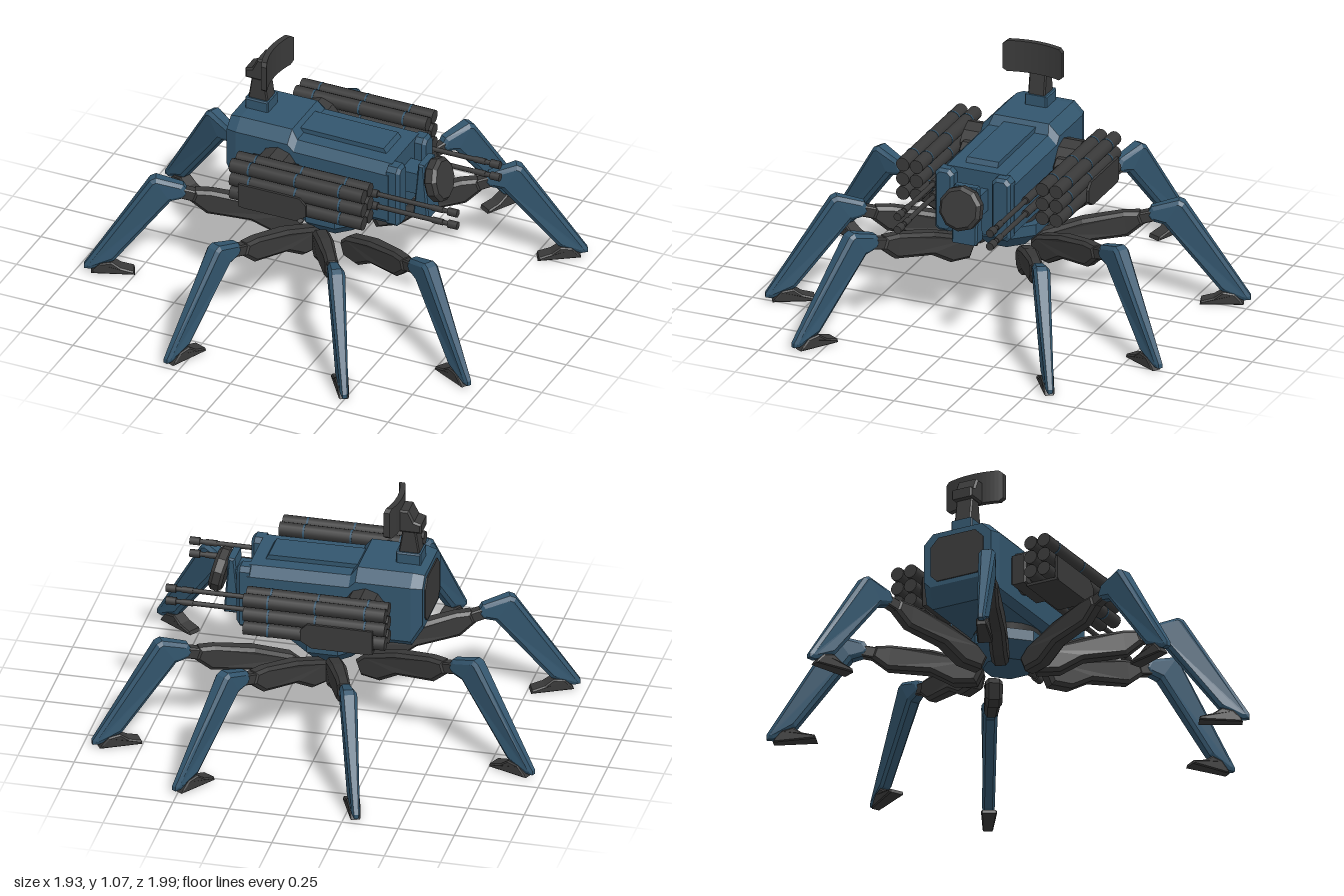
import * as THREE from 'three';

const blue = new THREE.MeshStandardMaterial({ color: 0x33566e });
blue.name = 'steel blue';
const dark = new THREE.MeshStandardMaterial({ color: 0x3a3a3a });
dark.name = 'dark grey';

function add(parent, name, geometry, material, x = 0, y = 0, z = 0) {
  const mesh = new THREE.Mesh(geometry, material);
  mesh.name = name;
  mesh.position.set(x, y, z);
  parent.add(mesh);
  return mesh;
}

// Gives every face its own flat normal
function faceted(geometry) {
  const g = geometry.index ? geometry.toNonIndexed() : geometry;
  g.computeVertexNormals();
  return g;
}

// Side outline (x, y) extruded along z, bevelled, with a width rule along x
function prism(points, width, bevel, rule = () => 1) {
  const shape = new THREE.Shape(points.map(([x, y]) => new THREE.Vector2(x, y)));
  const g = new THREE.ExtrudeGeometry(shape, {
    depth: width - 2 * bevel, bevelEnabled: bevel > 0, bevelThickness: bevel,
    bevelSize: bevel, bevelOffset: -bevel, bevelSegments: 1,
  });
  g.translate(0, 0, bevel - width / 2);
  const p = g.attributes.position;
  for (let i = 0; i < p.count; i++) p.setZ(i, p.getZ(i) * rule(p.getX(i)));
  return faceted(g);
}

// Chamfered cross-sections joined along x: [x, bottom, top, halfWidth, topCut, bottomCut]
function loft(sections) {
  const pos = [], index = [];
  for (const [x, b, t, w, c, d] of sections) {
    const ring = [[t, -w + c], [t, w - c], [t - c, w], [b + d, w],
      [b, w - d], [b, -w + d], [b + d, -w], [t - c, -w]];
    for (const [y, z] of ring) pos.push(x, y, z);
  }
  const last = (sections.length - 1) * 8;
  for (let r = 0; r < last; r += 8) {
    for (let j = 0; j < 8; j++) {
      const k = (j + 1) % 8;
      index.push(r + j, r + k, r + 8 + k, r + j, r + 8 + k, r + 8 + j);
    }
  }
  for (let j = 1; j < 7; j++) index.push(0, j + 1, j, last, last + j, last + j + 1);
  const g = new THREE.BufferGeometry();
  g.setAttribute('position', new THREE.Float32BufferAttribute(pos, 3));
  g.setIndex(index);
  return faceted(g);
}

// Rod along x from x0 to x1
function rod(x0, x1, radius, sides = 14) {
  const g = new THREE.CylinderGeometry(radius, radius, x1 - x0, sides);
  return g.rotateZ(-Math.PI / 2).translate((x0 + x1) / 2, 0, 0);
}

function buildHull(root) {
  const hull = new THREE.Group();
  hull.name = 'hull';
  root.add(hull);
  add(hull, 'hullBody', loft([
    [-0.405, 0.515, 0.765, 0.165, 0.045, 0.03],
    [-0.355, 0.433, 0.775, 0.18, 0.05, 0.03],
    [-0.11, 0.433, 0.775, 0.18, 0.05, 0.03],
    [-0.08, 0.433, 0.735, 0.18, 0.04, 0.03],
    [0.37, 0.433, 0.73, 0.18, 0.04, 0.03],
  ]), blue);
  add(hull, 'roofPanel', prism([[-0.12, 0.72], [0.32, 0.72], [0.30, 0.752], [-0.12, 0.756]], 0.15, 0), blue);
  add(hull, 'rearPanel', loft([
    [-0.411, 0.535, 0.74, 0.13, 0.04, 0.03], [-0.404, 0.535, 0.74, 0.13, 0.04, 0.03],
  ]), dark);
  for (const side of [-1, 1]) {
    add(hull, 'frontCheek', loft([
      [0.36, 0.436, 0.728, 0.044, 0.02, 0.015],
      [0.405, 0.436, 0.728, 0.044, 0.02, 0.015],
      [0.42, 0.45, 0.715, 0.032, 0.015, 0.015],
    ]), blue, 0, 0, side * 0.134);
  }
  // Front sensor on its post
  add(hull, 'sensorPost', prism([[0.43, 0.435], [0.505, 0.435], [0.485, 0.70], [0.455, 0.70]], 0.12, 0.008), blue);
  add(hull, 'sensorArm', new THREE.BoxGeometry(0.14, 0.1, 0.11), blue, 0.42, 0.60);
  const profile = [[0, -0.03], [0.085, -0.03], [0.1, -0.018], [0.1, 0.015], [0.085, 0.03], [0, 0.03]];
  const disc = new THREE.LatheGeometry(profile.map(([r, y]) => new THREE.Vector2(r, y)), 10);
  disc.rotateY(Math.PI / 10).rotateZ(-Math.PI / 2 + 0.23);
  add(hull, 'sensorDisc', faceted(disc), dark, 0.53, 0.615);
  // Turning ring and leg hub below
  add(hull, 'turretRing', new THREE.CylinderGeometry(0.15, 0.14, 0.05, 20), dark, 0.04, 0.415);
  const hub = new THREE.CylinderGeometry(0.18, 0.18, 0.05, 8).rotateY(Math.PI / 8);
  add(hull, 'hubTop', faceted(hub), blue, 0.04, 0.37);
  const lower = new THREE.CylinderGeometry(0.18, 0.11, 0.065, 8).rotateY(Math.PI / 8);
  add(hull, 'hubBottom', faceted(lower), blue, 0.04, 0.3125);
}

function buildRadar(root) {
  const radar = new THREE.Group();
  radar.name = 'radarMast';
  root.add(radar);
  add(radar, 'mastBase', prism([[-0.37, 0.765], [-0.26, 0.765], [-0.26, 0.825], [-0.37, 0.825]], 0.105, 0.006), blue);
  add(radar, 'mastNeck', prism([[-0.362, 0.82], [-0.268, 0.82], [-0.285, 0.93], [-0.345, 0.93]], 0.08, 0.006), dark);
  add(radar, 'mastHead', prism([[-0.372, 0.925], [-0.27, 0.925], [-0.27, 1.03], [-0.315, 1.03],
    [-0.34, 0.98], [-0.372, 0.97]], 0.1, 0.008), dark);
  // Dish bowed forward at its ends, with trimmed corners
  const dish = new THREE.BoxGeometry(0.025, 0.145, 0.28, 1, 1, 16);
  const p = dish.attributes.position;
  for (let i = 0; i < p.count; i++) {
    const z = p.getZ(i);
    p.setX(i, p.getX(i) + 1.4 * z * z);
    if (Math.abs(z) > 0.13) p.setY(i, p.getY(i) * 0.8);
  }
  dish.computeVertexNormals();
  add(radar, 'radarDish', faceted(dish), dark, -0.267, 1.002);
}

function buildWeapons(root, side) {
  const pod = new THREE.Group();
  pod.name = side > 0 ? 'rightWeapons' : 'leftWeapons';
  root.add(pod);
  // Six launch tubes with thin bands
  for (const y of [0.678, 0.61, 0.543]) {
    for (const z of [0.297, 0.362]) {
      add(pod, 'launchTube', rod(-0.29, 0.34, 0.031), dark, 0, y, side * z);
      for (const x of [-0.2, 0.02, 0.23]) {
        add(pod, 'tubeBand', rod(x - 0.004, x + 0.004, 0.0325), blue, 0, y, side * z);
      }
    }
  }
  // Cradle around the tubes
  const plate = [[-0.24, 0.51], [-0.225, 0.5], [0.03, 0.5], [0.08, 0.53], [0.08, 0.585],
    [0.05, 0.615], [-0.24, 0.615]];
  add(pod, 'cradlePlate', prism(plate, 0.012, 0), dark, 0, 0, side * 0.397);
  add(pod, 'cradleFloor', new THREE.BoxGeometry(0.28, 0.012, 0.15), dark, -0.1, 0.507, side * 0.325);
  const shoulder = new THREE.CylinderGeometry(0.095, 0.095, 0.1, 10).rotateX(Math.PI / 2);
  add(pod, 'shoulderDisc', faceted(shoulder), dark, -0.155, 0.605, side * 0.22);
  // Twin guns
  add(pod, 'gunBox', prism([[-0.265, 0.51], [-0.05, 0.51], [-0.02, 0.54], [-0.02, 0.62],
    [-0.05, 0.648], [-0.265, 0.648]], 0.07, 0.006), dark, 0, 0, side * 0.222);
  for (const y of [0.612, 0.55]) {
    const gun = new THREE.Group();
    gun.name = 'gunBarrel';
    gun.position.set(0, y, side * 0.218);
    pod.add(gun);
    add(gun, 'gunSleeve', rod(-0.05, 0.34, 0.018), dark);
    add(gun, 'barrel', rod(0.3, 0.71, 0.011), dark);
    add(gun, 'barrelCollar', rod(0.6, 0.65, 0.014), dark);
    add(gun, 'muzzle', rod(0.675, 0.72, 0.018), dark);
  }
}

// Leg outlines run from the toe (x = 0) inward to the hip
const shinOutline = [[0, 0.02], [0, 0.04], [0.285, 0.475], [0.31, 0.487], [0.43, 0.45],
  [0.452, 0.41], [0.435, 0.385], [0.375, 0.37], [0.13, 0.065], [0.03, 0.018]];
const thighOutline = [[0.46, 0.37], [0.48, 0.425], [0.55, 0.422], [0.73, 0.385], [0.9, 0.325],
  [0.95, 0.28], [0.92, 0.215], [0.82, 0.22], [0.72, 0.28], [0.53, 0.31]];
const footOutline = [[0.03, 0], [0.22, 0], [0.215, 0.017], [0.16, 0.032], [0.12, 0.06], [0.07, 0.05], [0.04, 0.018]];

function buildLeg(root, toeX, toeZ, dirX, dirZ) {
  const leg = new THREE.Group();
  leg.name = 'leg';
  leg.position.set(toeX, 0, toeZ);
  leg.rotation.y = Math.atan2(-dirZ, dirX);
  root.add(leg);
  const shinWidth = (x) => x < 0.25 ? 0.4 + 2.4 * Math.max(x, 0) : 1 - 1.8 * (x - 0.25);
  add(leg, 'shin', prism(shinOutline, 0.08, 0.016, shinWidth), blue);
  add(leg, 'kneeJoint', prism([[0.39, 0.39], [0.42, 0.435], [0.5, 0.415], [0.5, 0.36]], 0.045, 0.006), dark);
  add(leg, 'thigh', prism(thighOutline, 0.075, 0.015, (x) => x < 0.7 ? 0.78 : 1), dark);
  add(leg, 'foot', prism(footOutline, 0.07, 0.006, (x) => 0.55 + 2.5 * Math.min(Math.max(x, 0), 0.18)), dark);
}

export function createModel() {
  const root = new THREE.Group();
  root.name = 'eightLeggedWalker';
  buildHull(root);
  buildRadar(root);
  // Toe position and inward direction of each leg
  const legs = [[0.955, 0.608, -0.385, -0.23], [0.513, 0.933, -0.23, -0.375],
    [-0.313, 0.994, 0.145, -0.4], [-0.963, 0.425, 0.41, -0.18]];
  for (const side of [1, -1]) {
    buildWeapons(root, side);
    for (const [x, z, dx, dz] of legs) buildLeg(root, x, side * z, dx, side * dz);
  }
  return root;
}
